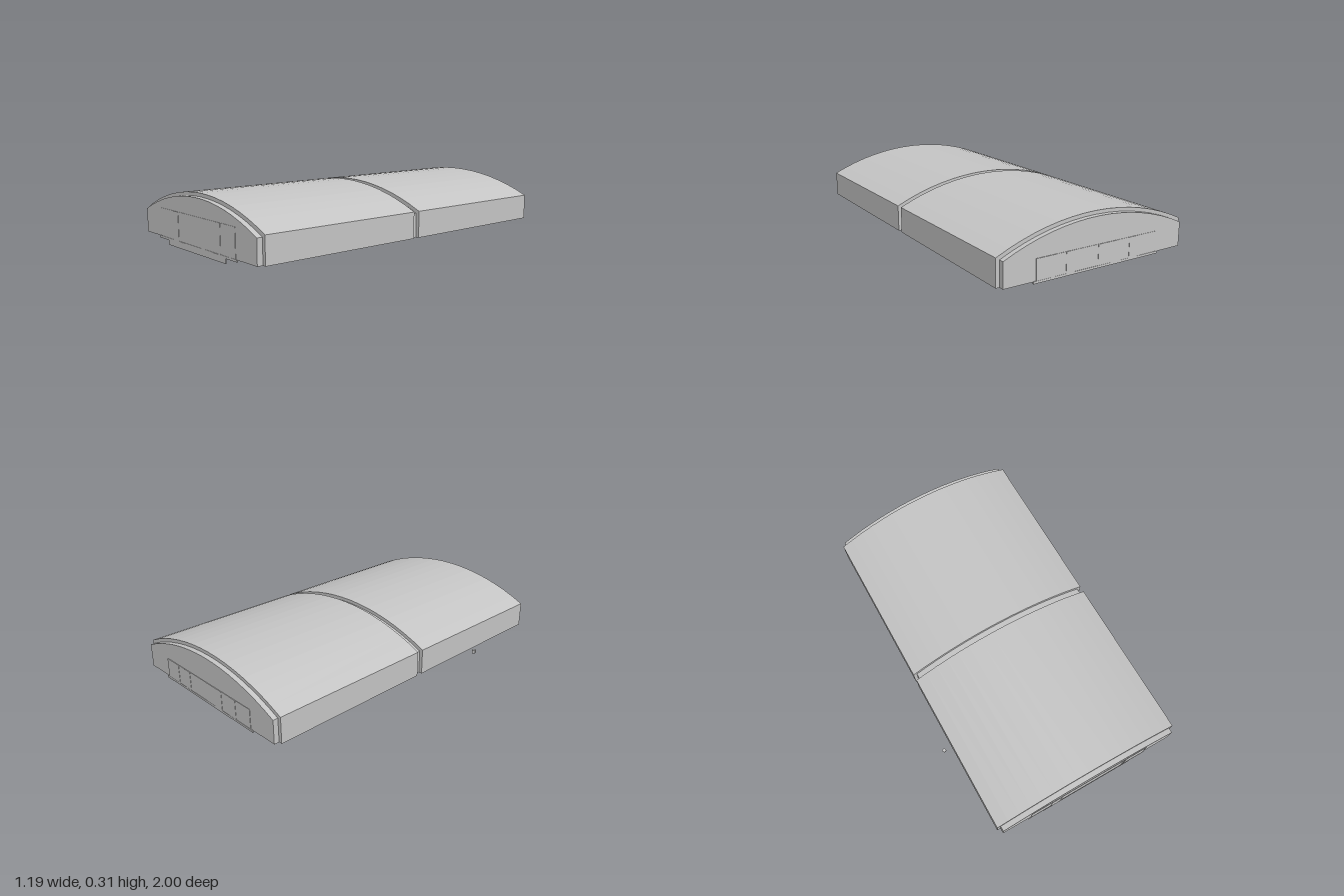
import * as THREE from 'three';

const CX = 0.0275; // hall centre line
const FLOOR = 0.035;

// Gable outline: straight walls under a shallow segmented arch
function archShape(halfWidth, eaves, top, segments = 16) {
  const rise = top - eaves;
  const radius = (halfWidth ** 2 + rise ** 2) / (2 * rise);
  const sweep = Math.asin(halfWidth / radius);
  const points = [new THREE.Vector2(CX - halfWidth, FLOOR), new THREE.Vector2(CX + halfWidth, FLOOR)];
  for (let i = 0; i <= segments; i++) {
    const a = sweep * (1 - (2 * i) / segments);
    points.push(new THREE.Vector2(CX + radius * Math.sin(a), top - radius + radius * Math.cos(a)));
  }
  return new THREE.Shape(points);
}

export function createModel() {
  const group = new THREE.Group();
  const grey = new THREE.MeshStandardMaterial({ color: 0xc4c4c4 });
  grey.name = 'light grey';

  function add(name, geometry) {
    const mesh = new THREE.Mesh(geometry, grey);
    mesh.name = name;
    group.add(mesh);
    return mesh;
  }
  function box(name, x0, x1, y0, y1, z0, z1) {
    const mesh = add(name, new THREE.BoxGeometry(x1 - x0, y1 - y0, z1 - z0));
    mesh.position.set((x0 + x1) / 2, (y0 + y1) / 2, (z0 + z1) / 2);
    return mesh;
  }
  function hall(name, shape, z0, z1) {
    const geometry = new THREE.ExtrudeGeometry(shape, { depth: z1 - z0, bevelEnabled: false });
    geometry.translate(0, 0, z0);
    add(name, geometry);
  }

  // Inner hall runs the full length, with two larger shells around it
  hall('innerHall', archShape(0.5475, 0.165, 0.286), -0.996, 0.996);
  const outer = archShape(0.5675, 0.178, 0.305);
  hall('frontShell', outer, 0.018, 0.966);
  hall('backShell', outer, -0.968, -0.018);

  // Sliding door leaves at alternating depths
  function doors(name, edges, top, side) {
    for (let i = 0; i < edges.length - 1; i++) {
      const face = side * (i % 2 ? 0.9995 : 0.998);
      box(name + (i + 1), edges[i], edges[i + 1], FLOOR, top,
        Math.min(side * 0.994, face), Math.max(side * 0.994, face));
    }
  }
  doors('frontDoorLeaf', [-0.342, -0.212, -0.15, 0.254, 0.267, 0.398], 0.19, 1);
  doors('backDoorLeaf', [-0.341, -0.224, -0.169, -0.107, 0.03, 0.176, 0.224, 0.286, 0.396], 0.145, -1);

  // Door tracks and the threshold plate
  box('frontTrack', -0.36, 0.412, 0.025, 0.037, 0.994, 0.9997);
  box('backTrack', -0.36, 0.412, 0.025, 0.037, -1, -0.994);
  box('frontThreshold', -0.26, 0.312, 0, 0.035, 0.994, 1);

  // Small block beside the hall
  const block = box('sideBlock', -0.598, -0.58, 0.035, 0.055, 0.421, 0.439);
  block.position.x = -0.587;
  block.rotation.y = 0.3;

  return group;
}
